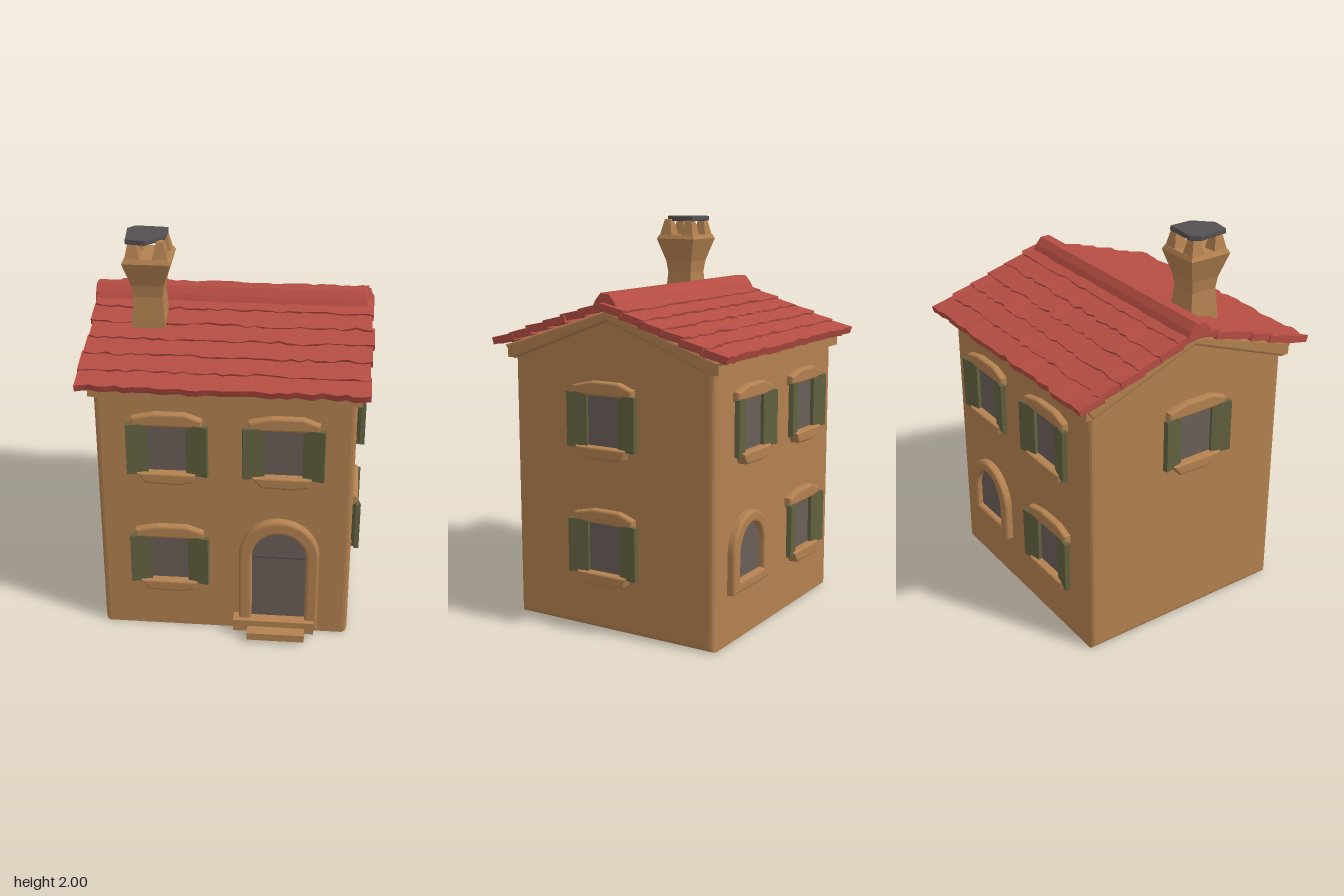
import * as THREE from 'three';

const mat = (name, color) => {
  const m = new THREE.MeshStandardMaterial({ color });
  m.name = name;
  return m;
};

export function createModel() {
  const plaster = mat('ochre plaster', 0xb38150);
  const tile = mat('red roof tile', 0xb54d43);
  const olive = mat('olive shutter', 0x62613f);
  const pane = mat('dusty grey', 0x6b5f59);
  const slate = mat('dark slate', 0x555152);

  const house = new THREE.Group();
  house.name = 'house';
  let seed = 7;
  const rand = () => (seed = (seed * 16807) % 2147483647) / 2147483647;

  const add = (parent, name, geo, material, x = 0, y = 0, z = 0) => {
    const mesh = new THREE.Mesh(geo, material);
    mesh.name = name;
    mesh.position.set(x, y, z);
    parent.add(mesh);
    return mesh;
  };
  const poly = (pts) => new THREE.Shape(pts.map(([x, y]) => new THREE.Vector2(x, y)));
  const flat = (geo) => {
    const g = geo.index ? geo.toNonIndexed() : geo;
    g.computeVertexNormals();
    return g;
  };
  // Rounded extrusion whose outline and total depth stay as given
  const extrude = (shape, depth, bevel) => new THREE.ExtrudeGeometry(shape, {
    depth: depth - 2 * bevel, bevelEnabled: bevel > 0, bevelSize: bevel, bevelThickness: bevel,
    bevelOffset: -bevel, bevelSegments: 3, curveSegments: 14,
  }).translate(0, 0, bevel);
  // Extrusion of a (z, y) profile along x, centred
  const alongX = (pts, width, bevel) =>
    extrude(poly(pts), width, bevel).translate(0, 0, -width / 2).rotateY(-Math.PI / 2);
  const arch = (half, bottom, spring, rise) => {
    const s = new THREE.Shape();
    s.moveTo(-half, bottom);
    s.lineTo(half, bottom);
    s.lineTo(half, spring);
    s.absellipse(0, spring, half, rise, 0, Math.PI, false);
    return s;
  };

  // Walls with gables, and the cornice that flares out under the roof
  add(house, 'walls', alongX([
    [-0.585, 0.0], [0.555, 0.0], [0.555, 1.36], [-0.01, 1.575], [-0.585, 1.36],
  ], 1.25, 0.025), plaster);
  add(house, 'cornice', alongX([
    [0.55, 1.32], [0.605, 1.385], [-0.01, 1.59], [-0.625, 1.385], [-0.58, 1.32], [-0.01, 1.535],
  ], 1.3, 0.015), plaster);
  for (const z of [0.56, -0.59]) {
    add(house, 'eaveMoulding', new THREE.BoxGeometry(1.29, 0.05, 0.05), plaster, 0, 1.35, z);
  }

  // Roof: overlapping courses of uneven tiles on each slope
  const slope = 0.31, length = 0.685, courses = 6;
  for (const side of [1, -1]) {
    const half = new THREE.Group();
    half.name = side > 0 ? 'frontRoof' : 'backRoof';
    for (let i = 0; i < courses; i++) {
      const step = length / courses;
      const cols = 36;
      const geo = new THREE.BoxGeometry(1.37, 0.036, step + 0.02, cols, 1, 1);
      const drop = [], lift = [];
      for (let c = 0; c <= cols; c++) {
        drop.push((rand() - 0.5) * 0.02);
        lift.push((rand() - 0.5) * 0.009);
      }
      const shift = (rand() - 0.5) * 0.02;
      const p = geo.attributes.position;
      for (let v = 0; v < p.count; v++) {
        const c = Math.round((p.getX(v) / 1.37 + 0.5) * cols);
        const low = p.getZ(v) > 0;
        p.setX(v, p.getX(v) + shift);
        if (low) p.setZ(v, p.getZ(v) + drop[c]);
        p.setY(v, p.getY(v) + (low ? lift[c] + 0.007 : -0.003));
      }
      geo.computeVertexNormals();
      const s = (i + 0.5) * step;
      const course = add(half, 'tileCourse', geo, tile, 0,
        1.608 - Math.sin(slope) * s, Math.cos(slope) * s);
      course.rotation.x = slope;
    }
    half.rotation.y = side > 0 ? 0 : Math.PI;
    half.position.z = -0.01;
    house.add(half);
  }
  add(house, 'ridge', alongX([
    [-0.09, 1.59], [0.07, 1.59], [0.045, 1.635], [0.015, 1.67], [-0.035, 1.67], [-0.065, 1.635],
  ], 1.35, 0.008), tile, -0.015);

  // Chimney: square shaft flaring to a shoulder, four stubs and a slate cover
  const chimney = new THREE.Group();
  chimney.name = 'chimney';
  chimney.position.set(-0.395, 0, 0.18);
  const profile = [[0.085, 1.45], [0.08, 1.58], [0.07, 1.7], [0.078, 1.76], [0.115, 1.88],
    [0.105, 1.9], [0, 1.9]];
  add(chimney, 'shaft', flat(new THREE.LatheGeometry(
    profile.map(([r, y]) => new THREE.Vector2(r * Math.SQRT2, y)), 4, Math.PI / 4)), plaster);
  for (const x of [-1, 1]) for (const z of [-1, 1]) {
    add(chimney, 'coverStub', flat(new THREE.CylinderGeometry(0.025, 0.052, 0.085, 4, 1, false, Math.PI / 4)),
      plaster, x * 0.066, 1.94, z * 0.066);
  }
  add(chimney, 'cover', extrude(poly([
    [-0.11, 0.06], [-0.075, 0.1], [0.085, 0.09], [0.085, -0.03], [0.0, -0.115], [-0.095, -0.1],
  ]), 0.026, 0.004).rotateX(-Math.PI / 2), slate, 0, 1.974, 0);
  house.add(chimney);

  // Shuttered window, facing +z, origin at the centre of the opening
  const sillShape = poly([[-0.15, 0.012], [0.14, 0.012], [0.125, -0.035], [0.05, -0.052], [-0.11, -0.045]]);
  const lintelShape = poly([[-0.17, -0.015], [0.17, -0.015], [0.17, 0.025], [0.09, 0.055], [-0.06, 0.055], [-0.17, 0.03]]);
  const addWindow = (x, y, z, turn) => {
    const w = new THREE.Group();
    w.name = 'window';
    add(w, 'pane', new THREE.BoxGeometry(0.22, 0.275, 0.009), pane, 0, 0, 0.003);
    for (const s of [-1, 1]) {
      const shutter = add(w, 'shutter', new THREE.BoxGeometry(0.105, 0.27, 0.025), olive, s * 0.145, 0, 0.027);
      shutter.rotation.y = -s * 0.22;
    }
    add(w, 'sill', extrude(sillShape, 0.07, 0.012), plaster, 0, -0.137, -0.02);
    add(w, 'lintel', extrude(lintelShape, 0.055, 0.012), plaster, 0, 0.137, -0.02);
    w.position.set(x, y, z);
    w.rotation.y = turn;
    house.add(w);
  };
  const upper = 1.055, lower = 0.425, front = 0.555, back = -0.585, wall = 0.625;
  for (const [z, turn] of [[front, 0], [back, Math.PI]]) {
    addWindow(-0.275, upper, z, turn);
    addWindow(0.285, upper, z, turn);
    addWindow(-0.275, lower, z, turn);
  }
  addWindow(wall, upper, 0.015, Math.PI / 2);
  addWindow(wall, lower, 0.015, Math.PI / 2);
  addWindow(-wall, upper, 0.015, -Math.PI / 2);

  // Arched openings with a rounded plaster surround
  const addArch = (name, outer, inner, depth) => {
    const g = new THREE.Group();
    g.name = name;
    const ring = arch(...outer);
    ring.holes.push(arch(...inner));
    add(g, name + 'Surround', extrude(ring, depth, 0.015), plaster, 0, 0, -0.015);
    add(g, name + 'Panel', extrude(arch(inner[0] + 0.012, inner[1] - 0.012, inner[2], inner[3] + 0.012), 0.008, 0), pane);
    house.add(g);
    return g;
  };
  const door = addArch('door', [0.2, 0.03, 0.47, 0.205], [0.135, 0.08, 0.46, 0.14], 0.055);
  door.position.set(0.272, 0, front);
  add(door, 'doorRail', new THREE.BoxGeometry(0.26, 0.012, 0.008), slate, 0, 0.452, 0.01);
  const archWindow = addArch('archWindow', [0.185, 0.25, 0.44, 0.19], [0.12, 0.31, 0.43, 0.14], 0.055);
  archWindow.position.set(0.31, 0, back);
  archWindow.rotation.y = Math.PI;

  // Door step
  add(house, 'threshold', new THREE.BoxGeometry(0.41, 0.065, 0.09), plaster, 0.25, 0.058, 0.575);
  add(house, 'doorStep', new THREE.BoxGeometry(0.29, 0.04, 0.14), plaster, 0.265, 0.037, 0.61);

  return house;
}
